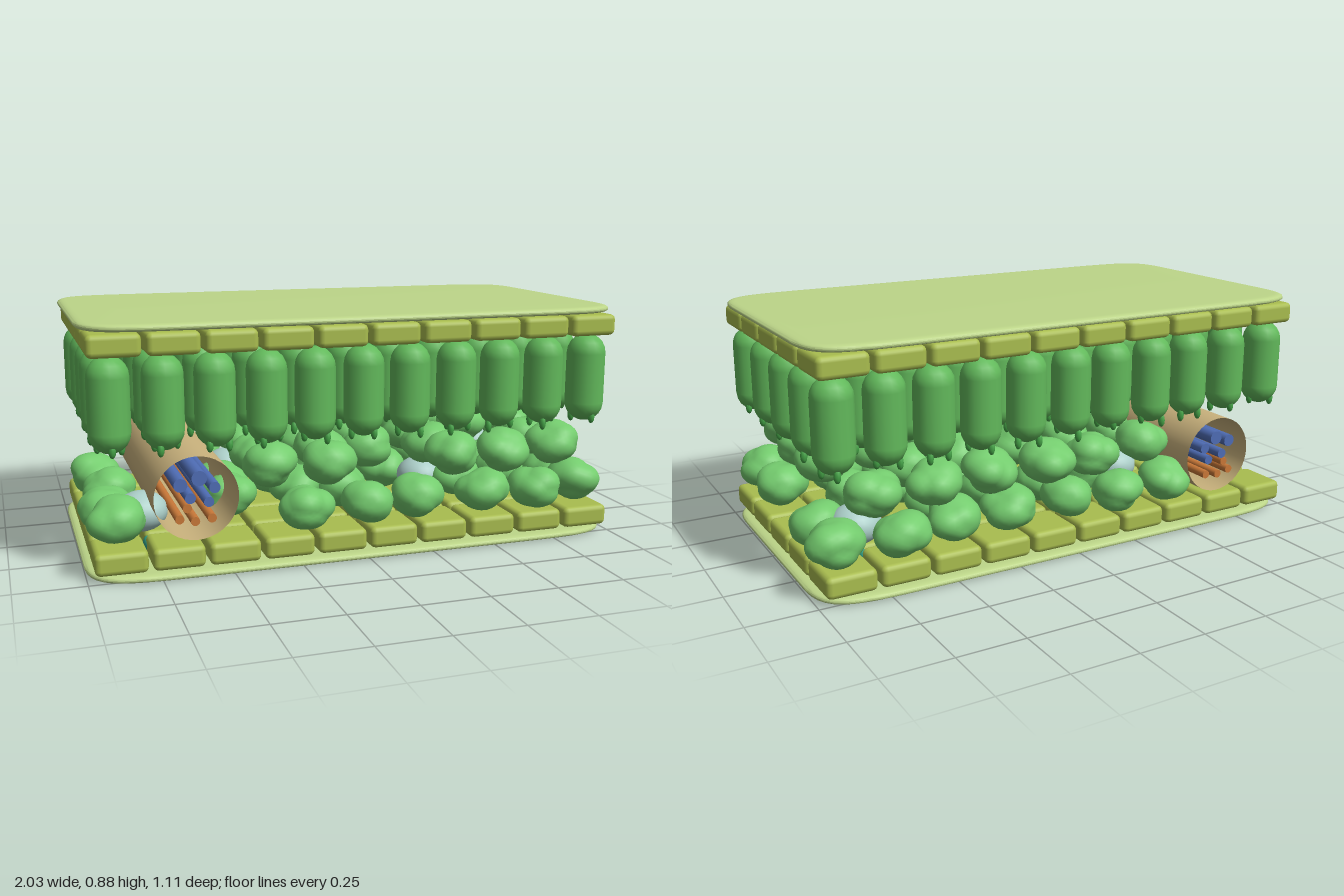
import * as THREE from 'three';
import { mergeVertices, toCreasedNormals } from 'three/addons/utils/BufferGeometryUtils.js';
import { RoundedBoxGeometry } from 'three/addons/geometries/RoundedBoxGeometry.js';

const mat = (color, side = THREE.FrontSide) => new THREE.MeshStandardMaterial({ color, side });

function seeded(seed) {
  let s = seed;
  return () => {
    s = (s * 16807) % 2147483647;
    return s / 2147483647;
  };
}

// Thin rounded sheet with tapering edges, centred on its own origin
function cuticleGeometry() {
  const b = 0.03, x = 1 - b, z = 0.547 - b;
  const cx = x * 0.66, cz = z * 0.64;
  const s = new THREE.Shape();
  s.moveTo(x, -cz);
  s.lineTo(x, cz);
  s.bezierCurveTo(x, z * 0.97, x * 0.95, z, cx, z);
  s.lineTo(-cx, z);
  s.bezierCurveTo(-x * 0.95, z, -x, z * 0.97, -x, cz);
  s.lineTo(-x, -cz);
  s.bezierCurveTo(-x, -z * 0.97, -x * 0.95, -z, -cx, -z);
  s.lineTo(cx, -z);
  s.bezierCurveTo(x * 0.95, -z, x, -z * 0.97, x, -cz);
  const g = new THREE.ExtrudeGeometry(s, {
    depth: 0.004, bevelSize: b, bevelThickness: 0.011, bevelSegments: 4, curveSegments: 12,
  });
  g.translate(0, 0, -0.002).rotateX(-Math.PI / 2);
  return toCreasedNormals(g, 0.7);
}

// Lumpy rounded cell: a sphere pushed out around random directions
function spongyGeometry(seed) {
  const rnd = seeded(seed);
  const g0 = new THREE.IcosahedronGeometry(1, 5);
  g0.deleteAttribute('uv');
  g0.deleteAttribute('normal');
  const g = mergeVertices(g0);
  const lobes = Array.from({ length: 13 }, () =>
    new THREE.Vector3(rnd() - 0.5, rnd() - 0.5, rnd() - 0.5).normalize());
  const p = g.attributes.position, v = new THREE.Vector3();
  for (let i = 0; i < p.count; i++) {
    v.fromBufferAttribute(p, i).normalize();
    const near = Math.max(...lobes.map((l) => l.dot(v)));
    v.multiplyScalar(0.8 + 0.24 * Math.max(0, (near - 0.5) * 2));
    p.setXYZ(i, v.x, v.y, v.z);
  }
  g.computeVertexNormals();
  return g;
}

export function createModel() {
  const model = new THREE.Group();
  const rnd = seeded(4711);
  const jitter = (a) => (rnd() * 2 - 1) * a;

  const group = (name) => {
    const g = new THREE.Group();
    g.name = name;
    model.add(g);
    return g;
  };
  const add = (parent, name, geo, material, x, y, z) => {
    const m = new THREE.Mesh(geo, material);
    m.name = name;
    m.position.set(x, y, z);
    parent.add(m);
    return m;
  };

  // Waxy cuticles, top and bottom
  const cuticle = cuticleGeometry(), cuticleMat = mat(0xbdd689);
  add(model, 'upperCuticle', cuticle, cuticleMat, 0, 0.87, 0);
  add(model, 'lowerCuticle', cuticle, cuticleMat, 0, 0.0135, 0);

  // Epidermis: two layers of 10 x 5 brick cells
  const brick = new RoundedBoxGeometry(0.182, 0.079, 0.2, 2, 0.02);
  const brickMat = mat(0xa9bd4f);
  for (const [name, y] of [['upperEpidermis', 0.813], ['lowerEpidermis', 0.072]]) {
    const layer = group(name);
    for (let i = 0; i < 10; i++)
      for (let j = 0; j < 5; j++)
        add(layer, 'epidermalCell', brick, brickMat, (i - 4.5) * 0.197, y, (j - 2) * 0.2135);
  }

  // Palisade: 11 x 5 upright capsules with small chloroplasts at the foot
  const palisade = group('palisadeLayer');
  const capsule = new THREE.CapsuleGeometry(0.073, 0.189, 5, 16);
  const grain = new THREE.SphereGeometry(1, 8, 6);
  const palisadeMat = mat(0x62b95b), grainMat = mat(0x46a548);
  for (let i = 0; i < 11; i++)
    for (let j = 0; j < 5; j++) {
      const x = (i - 5) * 0.18 + jitter(0.005), z = (j - 2) * 0.222 + jitter(0.004);
      add(palisade, 'palisadeCell', capsule, palisadeMat, x, 0.607, z);
      const turn = rnd() * 6.28;
      for (let k = 0; k < 3; k++) {
        const a = turn + k * 2.1;
        const c = add(palisade, 'chloroplast', grain, grainMat,
          x + Math.cos(a) * 0.047, 0.455 + jitter(0.012), z + Math.sin(a) * 0.047);
        c.scale.set(0.013, 0.026, 0.013);
      }
    }

  // Vein: open sheath with water and sugar vessels running front to back
  const vein = group('vein');
  const veinX = -0.63, length = 1.07;
  const tube = (name, material, x, y, r, open) => {
    const g = new THREE.CylinderGeometry(r, r, length, open ? 40 : 14, 1, open);
    add(vein, name, g.rotateX(Math.PI / 2), material, x, y, 0);
  };
  tube('bundleSheath', mat(0xc8b17c, THREE.DoubleSide), veinX, 0.284, 0.147, true);
  const xylemMat = mat(0x4f6db5), phloemMat = mat(0xc97838);
  for (const [x, y, r] of [[-0.62, 0.353, 0.027], [-0.685, 0.333, 0.024], [-0.567, 0.317, 0.02],
    [-0.652, 0.285, 0.019], [-0.588, 0.268, 0.018]])
    tube('xylemVessel', xylemMat, x, y, r, false);
  for (const [x, y] of [[-0.663, 0.251], [-0.69, 0.214], [-0.636, 0.203], [-0.578, 0.21]])
    tube('phloemVessel', phloemMat, x, y, 0.016, false);

  // Air spaces, each above a pore framed by two guard cells
  const air = group('airSpaces'), stomata = group('stomata');
  const ball = new THREE.SphereGeometry(1, 24, 16);
  const airMat = mat(0xaccfc9), guardMat = mat(0x35a58b);
  const spaces = [[-0.79, 0.33], [-0.36, -0.21], [0.34, 0.17], [0.79, -0.31]];
  for (const [x, z] of spaces) {
    add(air, 'airSpace', ball, airMat, x, 0.197, z).scale.set(0.092, 0.072, 0.092);
    for (const s of [-1, 1])
      add(stomata, 'guardCell', ball, guardMat, x + s * 0.02, 0.073, z).scale.set(0.018, 0.025, 0.05);
  }

  // Spongy layer: two loose levels of lumpy cells around the vein and air spaces
  const spongy = group('spongyLayer');
  const lumps = [11, 223, 3391, 47017, 590021].map(spongyGeometry);
  const spongyMat = mat(0x74cc6e);
  const levels = [
    { y: 0.197, x0: -0.88, count: 9 },
    { y: 0.352, x0: -0.33, count: 6 },
  ];
  for (const { y, x0, count } of levels)
    for (let i = 0; i < count; i++)
      for (let j = 0; j < 5; j++) {
        const x = x0 + i * 0.223 + jitter(0.025), z = (j - 2) * 0.219 + jitter(0.012);
        const turn = rnd() * 6.28, pick = Math.floor(rnd() * 5), keep = rnd() < 0.85;
        const blocked = Math.abs(x - veinX) < 0.17 ||
          (y < 0.3 && spaces.some(([ax, az]) => Math.hypot(ax - x, az - z) < 0.125));
        if (blocked || !keep) continue;
        const c = add(spongy, 'spongyCell', lumps[pick], spongyMat, x, y + jitter(0.012), z);
        c.scale.set(0.105, 0.083, 0.1);
        c.rotation.y = turn;
      }

  return model;
}
